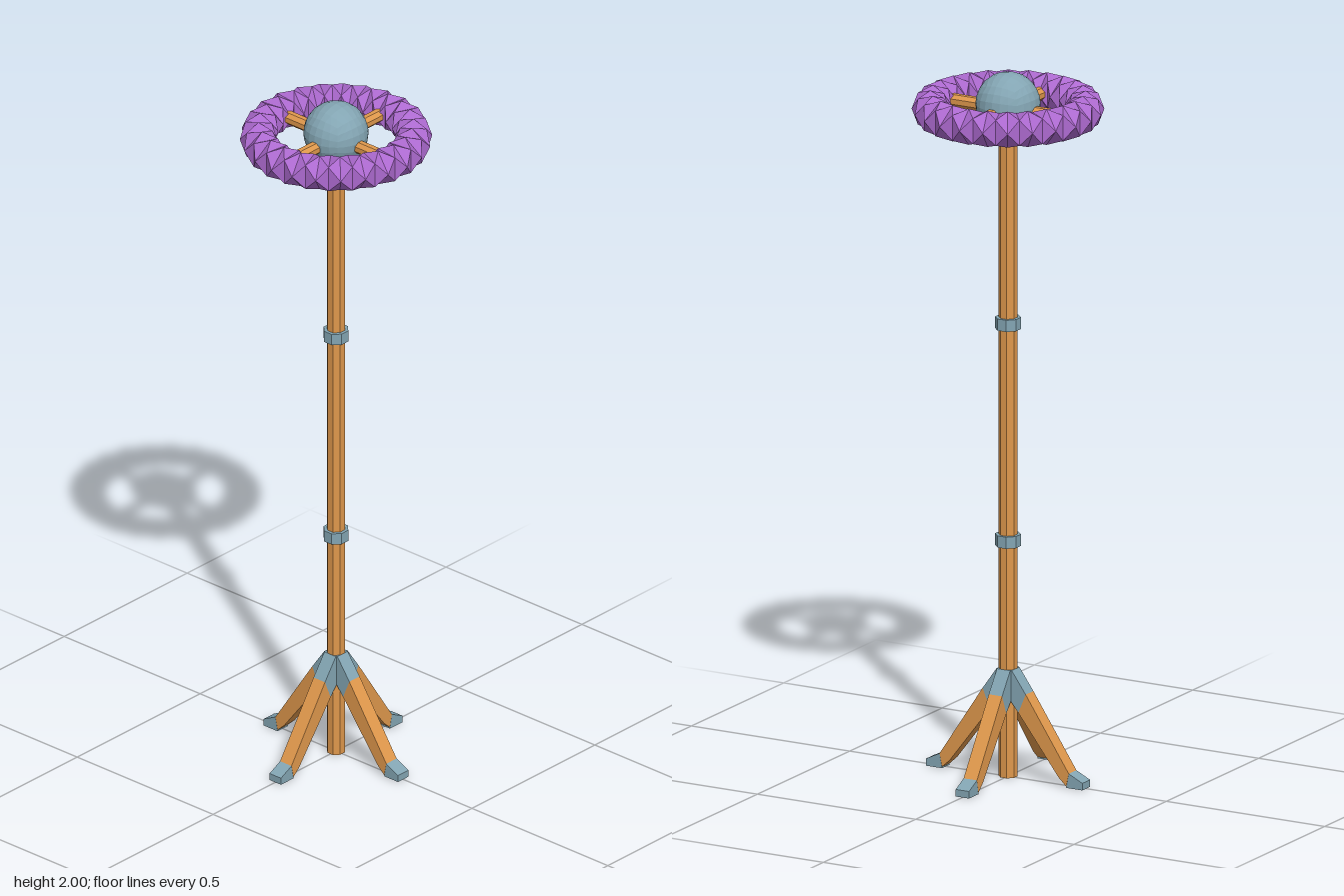
import * as THREE from 'three';

const mat = (color) => new THREE.MeshStandardMaterial({ color, flatShading: true });
const wood = mat(0xdf984c), metal = mat(0x83a5b3), purple = mat(0xad6ad0);

function add(parent, name, geometry, material, y = 0) {
  const mesh = new THREE.Mesh(geometry, material);
  mesh.name = name;
  mesh.position.y = y;
  parent.add(mesh);
  return mesh;
}

// Eight-sided prism with a flat side facing forward
function octagon(apothem, height) {
  return new THREE.CylinderGeometry(apothem / Math.cos(Math.PI / 8), apothem / Math.cos(Math.PI / 8), height, 8)
    .rotateY(Math.PI / 8);
}

// Torus covered in diamond facets: every second grid point is a corner
function diamondRing(R, r, around, sides) {
  const pos = [];
  const point = (i, j) => {
    const a = (i / around) * Math.PI * 2, b = (j / sides) * Math.PI * 2;
    const d = R + r * Math.cos(b);
    return [d * Math.cos(a), r * Math.sin(b), d * Math.sin(a)];
  };
  for (let i = 0; i < around; i++) {
    for (let j = 0; j < sides; j++) {
      if ((i + j) % 2 === 0) continue;
      const w = point(i - 1, j), n = point(i, j + 1), e = point(i + 1, j), s = point(i, j - 1);
      pos.push(...w, ...n, ...s, ...s, ...n, ...e);
    }
  }
  const g = new THREE.BufferGeometry();
  g.setAttribute('position', new THREE.Float32BufferAttribute(pos, 3));
  g.computeVertexNormals();
  return g;
}

// Sphere made from a rounded-out cube grid
function cubeSphere(radius, segments) {
  const g = new THREE.BoxGeometry(2, 2, 2, segments, segments, segments);
  const p = g.attributes.position, v = new THREE.Vector3();
  for (let i = 0; i < p.count; i++) {
    v.fromBufferAttribute(p, i);
    v.set(Math.tan(v.x * Math.PI / 4), Math.tan(v.y * Math.PI / 4), Math.tan(v.z * Math.PI / 4));
    v.setLength(radius);
    p.setXYZ(i, v.x, v.y, v.z);
  }
  g.computeVertexNormals();
  return g;
}

// Side profile given width across z
function slab(points, width) {
  const shape = new THREE.Shape(points.map(([x, y]) => new THREE.Vector2(x, y)));
  return new THREE.ExtrudeGeometry(shape, { depth: width, bevelEnabled: false }).translate(0, 0, -width / 2);
}

export function createModel() {
  const group = new THREE.Group();

  // Pole with its two bands
  add(group, 'pole', octagon(0.024, 1.86), wood, 0.935);
  for (const y of [0.675, 1.29]) add(group, 'poleBand', octagon(0.033, 0.033), metal, y);

  // Ball and ring at the top
  add(group, 'topBall', cubeSphere(0.089, 6), metal, 1.911);
  add(group, 'ring', diamondRing(0.212, 0.051, 48, 8), purple, 1.897);

  for (let k = 0; k < 4; k++) {
    const quarter = new THREE.Group();
    quarter.name = 'quarter';
    quarter.rotation.y = k * Math.PI / 2;
    group.add(quarter);

    // Spoke from ball to ring
    const spoke = octagon(0.0175, 0.2).rotateZ(Math.PI / 2).translate(0.1, 0, 0);
    add(quarter, 'spoke', spoke, wood, 1.897);

    // Sloping leg with metal collar and foot
    const w = 0.042;
    add(quarter, 'legCollar', slab([[0, 0.25], [0.045, 0.195], [0.068, 0.25], [0.024, 0.312], [0, 0.312]], w), metal);
    add(quarter, 'leg', slab([[0.045, 0.195], [0.172, 0.03], [0.196, 0.008], [0.204, 0.045], [0.068, 0.25]], w), wood);
    add(quarter, 'foot', slab([[0.196, 0.004], [0.247, 0.004], [0.247, 0.024], [0.204, 0.045]], w), metal);
  }
  return group;
}
